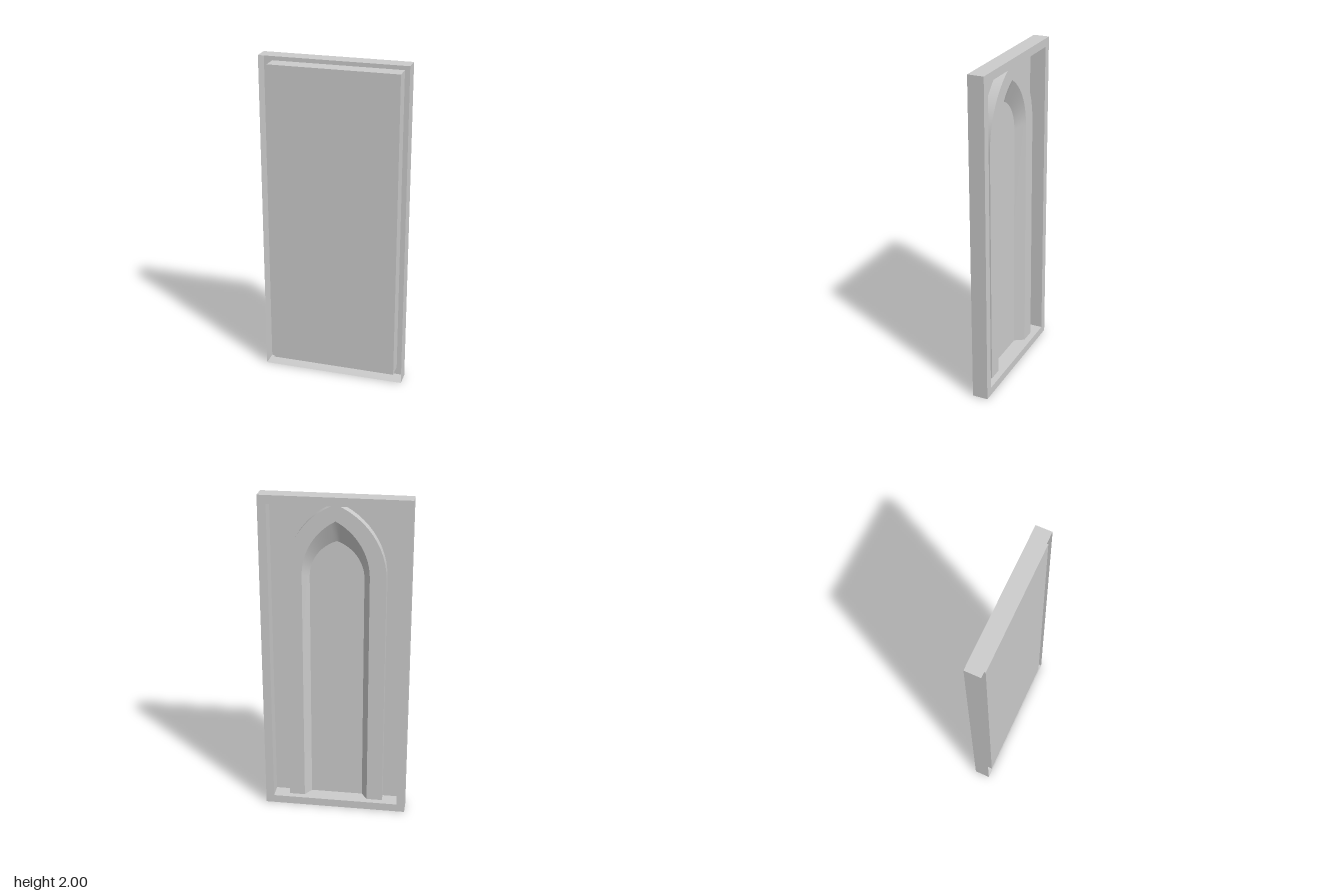
import * as THREE from 'three';
import { toCreasedNormals } from 'three/addons/utils/BufferGeometryUtils.js';

const FRONT = 0.048, BACK = -0.048, ARCH_FACE = -0.01;

// Counter-clockwise closed rectangle, seen from the front
function rectangle(halfWidth, bottom, top) {
  return [
    [-halfWidth, bottom], [halfWidth, bottom], [halfWidth, top],
    [-halfWidth, top], [-halfWidth, bottom],
  ];
}

// Open pointed arch: leg, two circular arcs meeting at the apex, leg
function pointedArch(halfWidth, bottom, spring, apex, steps = 12) {
  const rise = apex - spring;
  const radius = (halfWidth ** 2 + rise ** 2) / (2 * halfWidth);
  const centre = halfWidth - radius;
  const end = Math.atan2(rise, -centre);
  const half = [[halfWidth, bottom]];
  for (let i = 0; i <= steps; i++) {
    const a = (end * i) / steps;
    half.push([centre + radius * Math.cos(a), spring + radius * Math.sin(a)]);
  }
  const mirrored = half.slice(0, -1).reverse().map(([x, y]) => [-x, y]);
  return [...half, ...mirrored];
}

// Surface between two outlines with matching points
function strip(a, za, b, zb) {
  const pos = [];
  for (let i = 0; i < a.length - 1; i++) {
    const a0 = [...a[i], za], a1 = [...a[i + 1], za];
    const b0 = [...b[i], zb], b1 = [...b[i + 1], zb];
    pos.push(...a0, ...b0, ...b1, ...a0, ...b1, ...a1);
  }
  const geometry = new THREE.BufferGeometry();
  geometry.setAttribute('position', new THREE.Float32BufferAttribute(pos, 3));
  geometry.computeVertexNormals();
  return toCreasedNormals(geometry, 0.5);
}

export function createModel() {
  const model = new THREE.Group();
  model.name = 'archedPanel';
  const stone = new THREE.MeshStandardMaterial({ color: 0xcccccc, side: THREE.DoubleSide });
  stone.name = 'lightGrey';

  const add = (parent, name, geometry) => {
    const mesh = new THREE.Mesh(geometry, stone);
    mesh.name = name;
    parent.add(mesh);
    return mesh;
  };

  // Frame: outer walls, back rim and recess walls, left open at the front rim
  const frame = new THREE.Group();
  frame.name = 'frame';
  const outer = rectangle(0.438, 0, 2);
  const inner = rectangle(0.388, 0.05, 1.95);
  add(frame, 'outerWalls', strip(outer, FRONT, outer, BACK));
  add(frame, 'backRim', strip(outer, BACK, inner, BACK));
  add(frame, 'recessWalls', strip(inner, BACK, inner, FRONT));

  // Panel closing the recess, flush with the front
  const panel = add(model, 'panel', new THREE.PlaneGeometry(0.776, 1.9));
  panel.position.set(0, 1, FRONT);

  // Pointed arch moulding inside the recess, with a sloped inner side
  const arch = new THREE.Group();
  arch.name = 'arch';
  const archOuter = pointedArch(0.293, 0.05, 1.52, 1.95);
  const archInner = pointedArch(0.197, 0.05, 1.525, 1.853);
  const archFloor = pointedArch(0.16, 0.05, 1.5, 1.72);
  add(arch, 'archOuterSide', strip(archOuter, FRONT, archOuter, ARCH_FACE));
  add(arch, 'archFace', strip(archOuter, ARCH_FACE, archInner, ARCH_FACE));
  add(arch, 'archBevel', strip(archInner, ARCH_FACE, archFloor, FRONT));

  model.add(frame, arch);
  return model;
}
